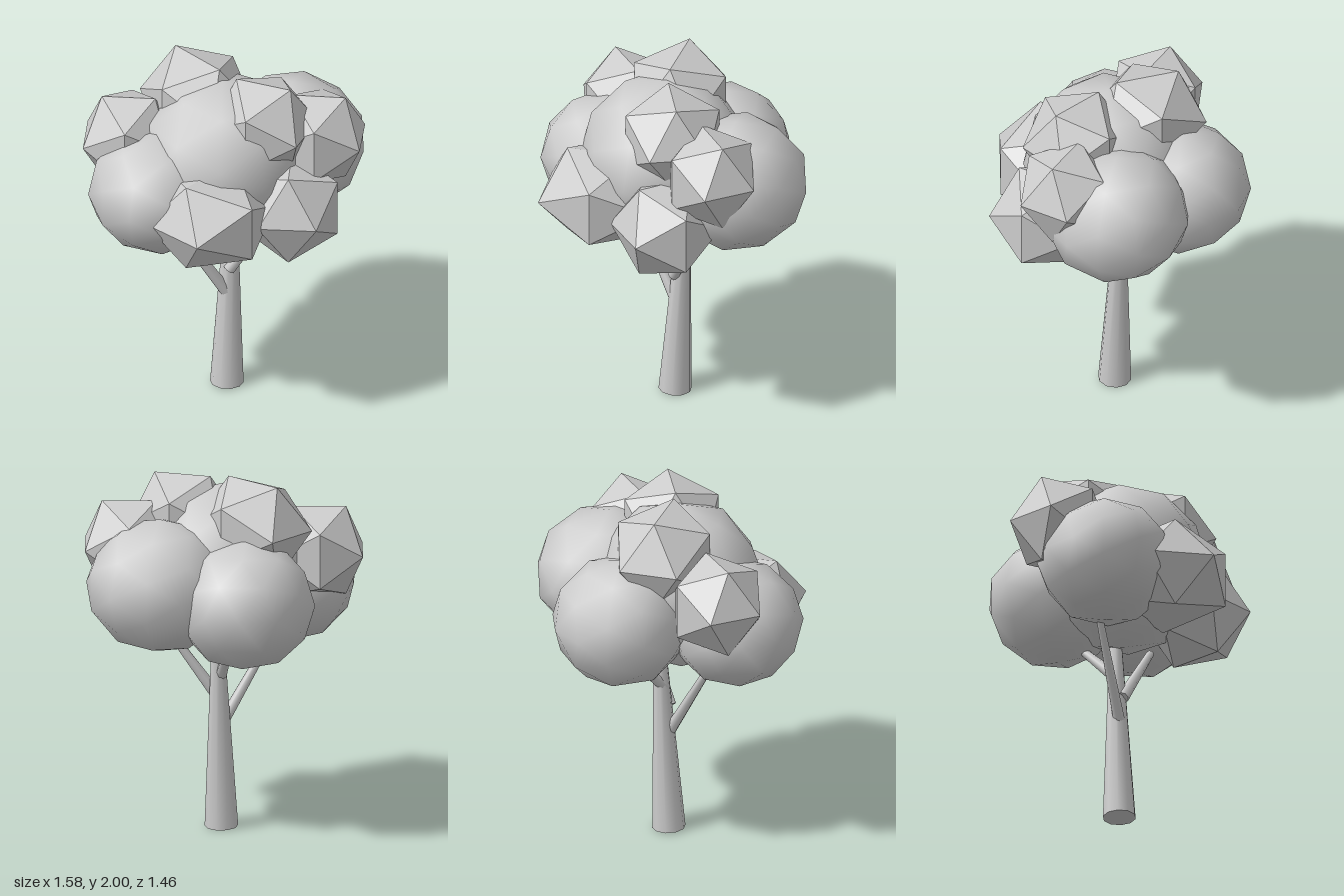
import * as THREE from 'three';

export function createModel() {
  const tree = new THREE.Group();
  tree.name = 'tree';
  const grey = new THREE.MeshStandardMaterial({ color: 0xcccccc });
  grey.name = 'pale grey';
  const facetedGrey = grey;

  function add(geometry, name, material = grey) {
    const mesh = new THREE.Mesh(geometry, material);
    mesh.name = name;
    tree.add(mesh);
    return mesh;
  }

  // Tapered limb between two points
  function limb(name, from, to, r0, r1, sides) {
    const a = new THREE.Vector3(...from), b = new THREE.Vector3(...to);
    const dir = b.clone().sub(a);
    const mesh = add(new THREE.CylinderGeometry(r1, r0, dir.length(), sides), name);
    mesh.position.copy(a).add(b).multiplyScalar(0.5);
    mesh.quaternion.setFromUnitVectors(new THREE.Vector3(0, 1, 0), dir.normalize());
  }

  // Leaf mass: detail 0 gives flat facets, detail 1 a smooth ball
  function foliage(name, detail, [x, y, z], [rx, ry, rz], turn) {
    const mesh = add(new THREE.IcosahedronGeometry(1, detail), name, facetedGrey);
    mesh.position.set(x, y, z);
    mesh.scale.set(rx, ry, rz);
    mesh.rotation.y = turn;
  }

  // Trunk and branches
  limb('trunk', [0.007, 0.005, 0.013], [0.04, 1.06, -0.023], 0.092, 0.036, 10);
  limb('rightBranch', [0.0, 0.59, 0.015], [-0.31, 1.08, 0.03], 0.034, 0.02, 8);
  limb('leftBranch', [0.015, 0.73, 0.03], [0.26, 1.09, 0.09], 0.034, 0.021, 8);
  limb('backBranch', [0.02, 0.86, -0.01], [0.06, 1.12, -0.27], 0.034, 0.02, 8);

  // Large round crown masses
  foliage('crownCentre', 1, [-0.03, 1.48, 0.055], [0.47, 0.47, 0.47], 0.3);
  foliage('crownLeft', 1, [0.395, 1.44, -0.07], [0.41, 0.375, 0.41], -1.08);
  foliage('crownRight', 1, [-0.415, 1.35, 0.115], [0.38, 0.35, 0.375], -0.65);
  foliage('crownBack', 1, [0, 1.37, -0.355], [0.385, 0.365, 0.385], 1.15);

  // Small faceted leaf clumps
  foliage('clumpFrontRight', 0, [-0.18, 1.315, 0.39], [0.37, 0.3, 0.37], 0.58);
  foliage('clumpFrontLeft', 0, [0.283, 1.28, 0.35], [0.305, 0.31, 0.305], 1.255);
  foliage('clumpSideLeft', 0, [0.48, 1.61, 0.19], [0.285, 0.294, 0.28], -0.345);
  foliage('clumpTopFront', 0, [0.17, 1.725, 0.19], [0.305, 0.3, 0.305], -0.63);
  foliage('clumpTopBack', 0, [-0.12, 1.74, -0.145], [0.34, 0.305, 0.31], -1.07);
  foliage('clumpSideRight', 0, [-0.515, 1.565, -0.12], [0.28, 0.294, 0.285], -0.33);

  return tree;
}
